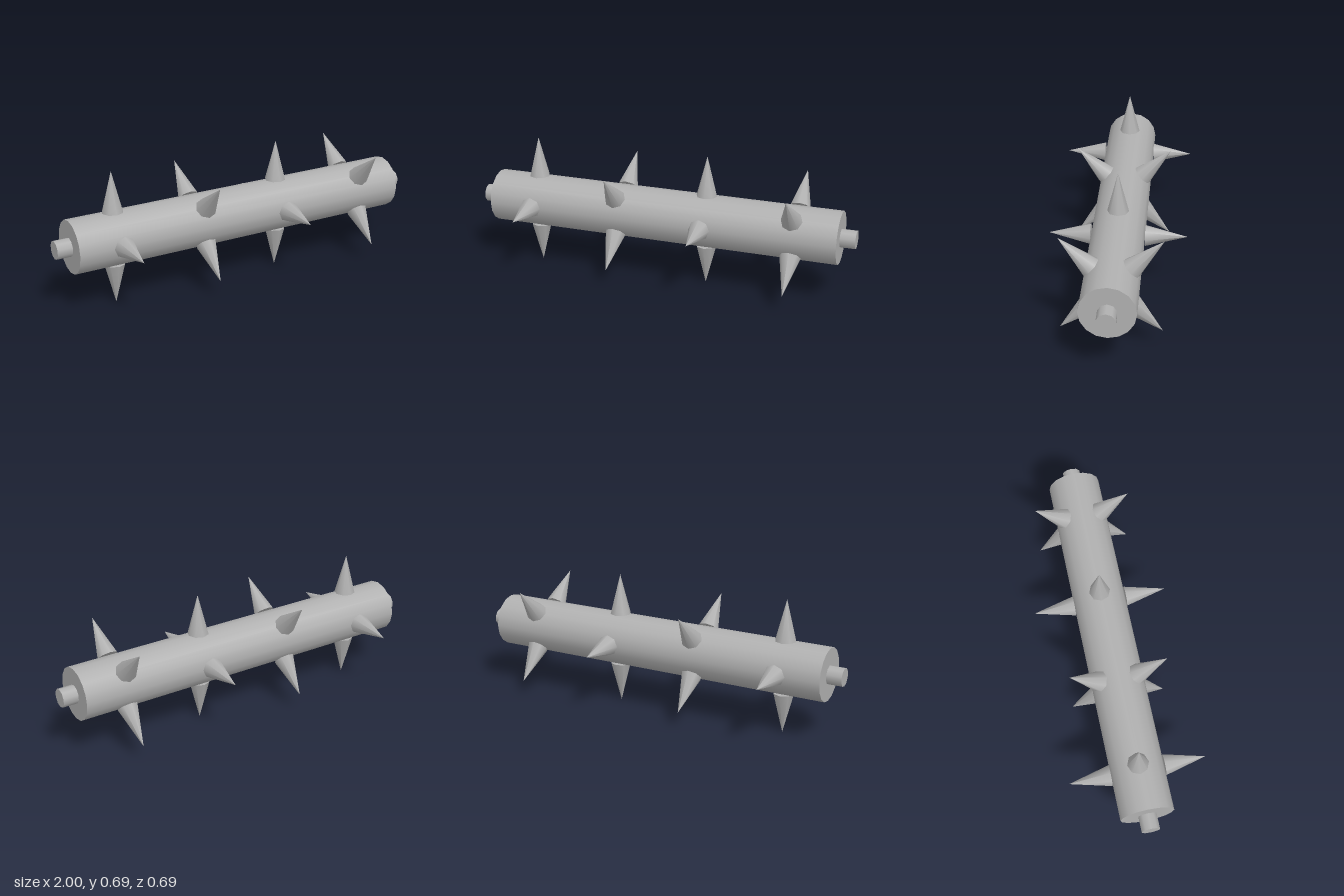
import * as THREE from 'three';

export function createModel() {
  const group = new THREE.Group();
  const metal = new THREE.MeshStandardMaterial({ color: 0xb0b0b0 });
  metal.name = 'grey metal';
  const axisY = 0.346;

  const addRod = (name, radius, length, sides) => {
    const geo = new THREE.CylinderGeometry(radius, radius, length, sides, 1, false, Math.PI / 2);
    geo.rotateZ(Math.PI / 2);
    const mesh = new THREE.Mesh(geo, metal);
    mesh.name = name;
    mesh.position.y = axisY;
    group.add(mesh);
  };

  // Main roller and the thin axle running through it
  addRod('drum', 0.135, 1.845, 16);
  addRod('axle', 0.047, 2, 10);

  // Four rings of four spikes, every second ring turned by 45 degrees
  const spikeGeo = new THREE.ConeGeometry(0.054, 0.21, 8);
  spikeGeo.translate(0, 0.136 + 0.105, 0);
  [-0.692, -0.231, 0.231, 0.692].forEach((x, ringIndex) => {
    const ring = new THREE.Group();
    ring.name = 'spikeRing';
    ring.position.set(x, axisY, 0);
    for (let i = 0; i < 4; i++) {
      const spike = new THREE.Mesh(spikeGeo, metal);
      spike.name = 'spike';
      spike.rotation.x = (i + (ringIndex % 2) / 2) * Math.PI / 2;
      ring.add(spike);
    }
    group.add(ring);
  });

  return group;
}
